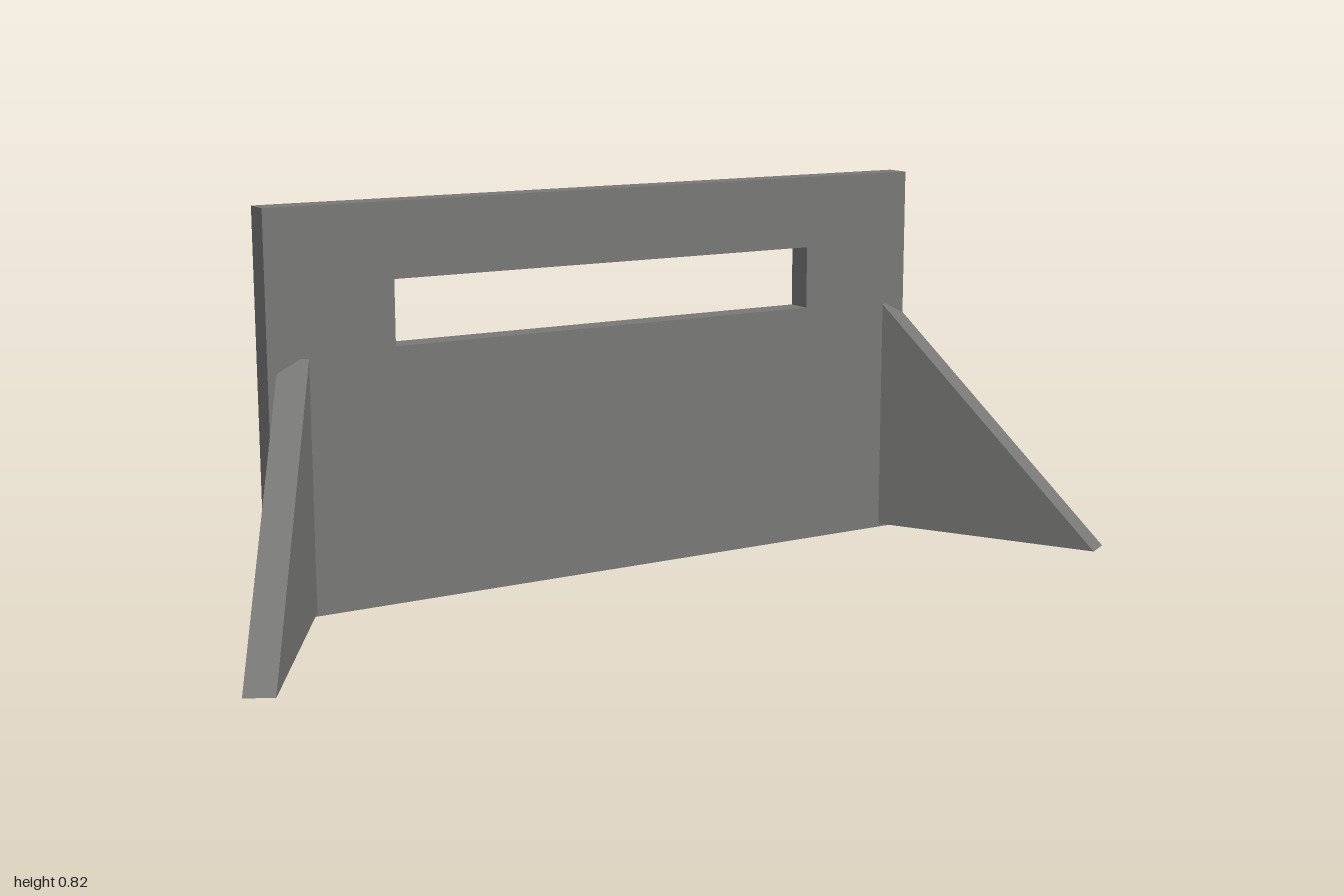
import * as THREE from 'three';

const concrete = new THREE.MeshStandardMaterial({ color: 0x787877 });
concrete.name = 'concreteGrey';

function extrude(shape, depth) {
  return new THREE.ExtrudeGeometry(shape, { depth, bevelEnabled: false });
}

function polygon(points, Type = THREE.Shape) {
  return new Type(points.map(([x, y]) => new THREE.Vector2(x, y)));
}

export function createModel() {
  const model = new THREE.Group();
  model.name = 'barrierWall';

  // Upright panel with a long viewing slot
  const outline = polygon([[-0.775, 0], [0.755, 0], [0.755, 0.82], [-0.775, 0.82]]);
  outline.holes.push(polygon([[-0.505, 0.53], [-0.505, 0.665], [0.487, 0.665], [0.487, 0.53]], THREE.Path));
  const panel = new THREE.Mesh(extrude(outline, 0.057), concrete);
  panel.name = 'slottedPanel';
  panel.position.z = -0.255;
  model.add(panel);

  // Triangular braces, splayed outward by 30 degrees
  const run = 0.514, thickness = 0.06, splay = Math.PI / 6;
  const triangle = polygon([[0, 0.01], [run, 0.01], [0, 0.523]]);
  for (const side of [1, -1]) {
    const geometry = extrude(triangle, thickness);
    // Mirrored braces thicken to the opposite side so both grow outward
    if (side > 0) geometry.translate(0, 0, -thickness);
    geometry.rotateY(-Math.PI / 2); // run along +z, thickness along x
    const brace = new THREE.Mesh(geometry, concrete);
    brace.name = side > 0 ? 'leftBrace' : 'rightBrace';
    brace.position.set(side * 0.692, 0, -0.19);
    brace.rotation.y = side * splay;
    model.add(brace);
  }

  return model;
}
